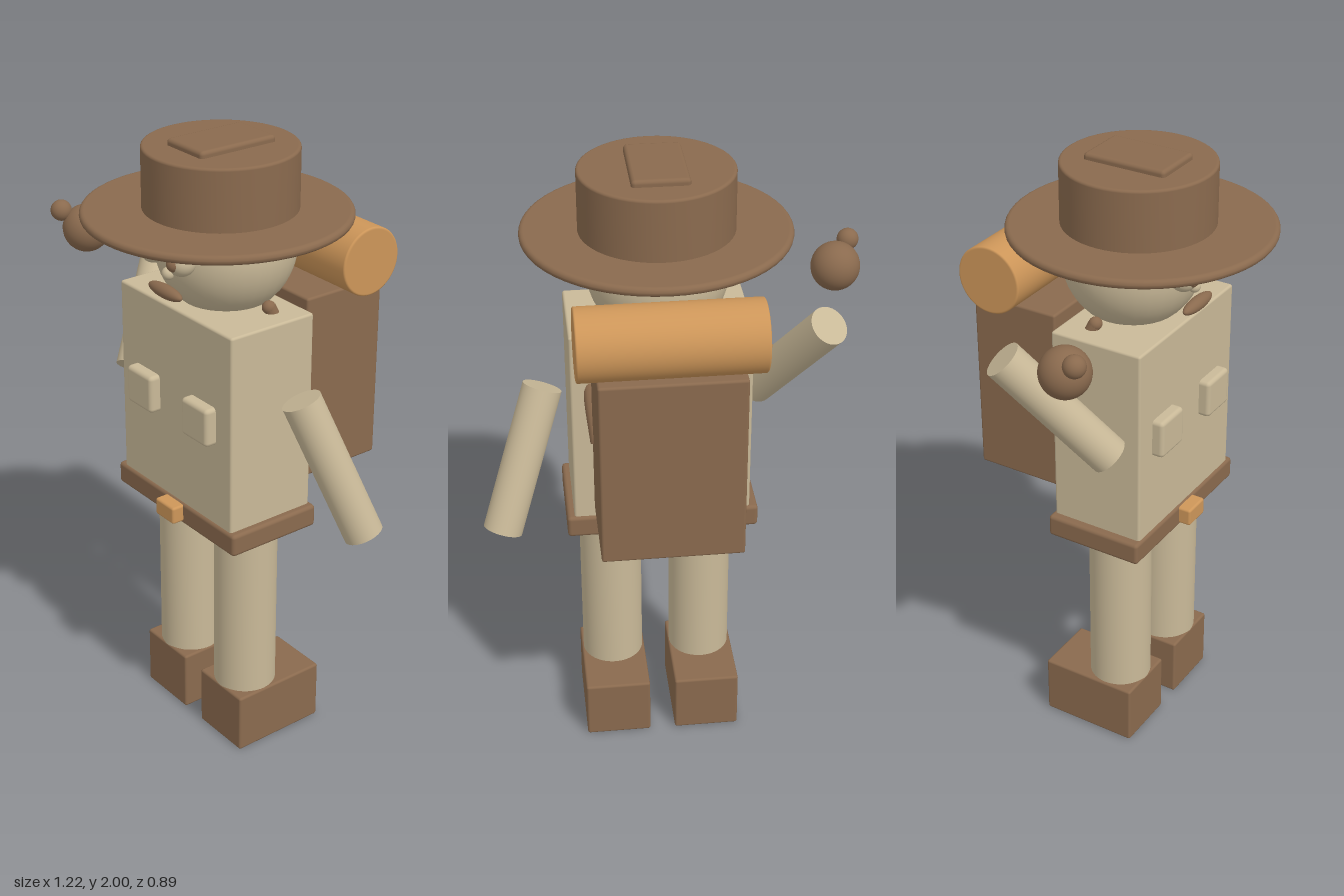
import * as THREE from 'three';
import { RoundedBoxGeometry } from 'three/addons/geometries/RoundedBoxGeometry.js';

export function createModel() {
  const root = new THREE.Group();
  root.name = 'hiker';
  const material = (name, color) => {
    const m = new THREE.MeshStandardMaterial({ color });
    m.name = name;
    return m;
  };
  const khaki = material('khaki', 0xc9b998);
  const brown = material('brown leather', 0x8a6a4e);
  const tan = material('orange tan', 0xcd9659);
  const CX = 0.037; // body centre line

  const add = (name, geometry, mat, x, y, z) => {
    const mesh = new THREE.Mesh(geometry, mat);
    mesh.name = name;
    mesh.position.set(x, y, z);
    root.add(mesh);
    return mesh;
  };
  // Box with softened edges, given by its bounds
  const box = (name, mat, [x0, x1], [y0, y1], [z0, z1], r = 0.008) =>
    add(name, new RoundedBoxGeometry(x1 - x0, y1 - y0, z1 - z0, 2, r), mat,
      (x0 + x1) / 2, (y0 + y1) / 2, (z0 + z1) / 2);
  const ball = (name, mat, r, x, y, z, scale = [1, 1, 1]) => {
    const mesh = add(name, new THREE.SphereGeometry(r, 32, 24), mat, x, y, z);
    mesh.scale.set(...scale);
    return mesh;
  };
  // Upright cylinder with rounded rims, centred on its own origin
  const drum = (r, h, b) => {
    const pts = [new THREE.Vector2(0, -h / 2), new THREE.Vector2(r - b - 0.002, -h / 2)];
    for (const side of [-1, 1]) {
      for (let i = 0; i <= 4; i++) {
        const a = (side < 0 ? i - 4 : i) * Math.PI / 8;
        pts.push(new THREE.Vector2(r - b + b * Math.cos(a), side * (h / 2 - b) + b * Math.sin(a)));
      }
    }
    pts.push(new THREE.Vector2(r - b - 0.002, h / 2), new THREE.Vector2(0, h / 2));
    return new THREE.LatheGeometry(pts, 56);
  };
  // Straight limb between two points
  const limb = (name, mat, r, from, to) => {
    const a = new THREE.Vector3(...from), b = new THREE.Vector3(...to);
    const dir = b.clone().sub(a);
    const mid = a.clone().add(b).multiplyScalar(0.5);
    const mesh = add(name, new THREE.CylinderGeometry(r, r, dir.length(), 32), mat, mid.x, mid.y, mid.z);
    mesh.quaternion.setFromUnitVectors(new THREE.Vector3(0, 1, 0), dir.normalize());
    return mesh;
  };

  // Torso, belt and buckle
  box('torso', khaki, [-0.243, 0.317], [0.85, 1.505], [-0.111, 0.198]);
  box('belt', brown, [-0.27, 0.34], [0.784, 0.858], [-0.121, 0.206], 0.012);
  box('buckle', tan, [-0.01, 0.084], [0.795, 0.853], [0.19, 0.246]);

  // Paired parts
  for (const side of [-1, 1]) {
    const label = side > 0 ? 'left' : 'right';
    const legX = 0.047 + side * 0.148;
    add(label + 'Leg', drum(0.101, 0.594, 0.008), khaki, legX, 0.478, 0.043);
    const bootX = 0.046 + side * 0.149;
    box(label + 'Boot', brown, [bootX - 0.107, bootX + 0.107], [0, 0.204], [-0.185, 0.145]);
    const pocketX = CX + side * 0.142;
    box(label + 'Pocket', khaki, [pocketX - 0.064, pocketX + 0.064], [1.129, 1.254], [0.18, 0.235], 0.014);

    // Eye, pupil and sideburn
    const eyeX = CX + side * 0.07;
    ball(label + 'Eye', khaki, 0.043, eyeX, 1.68, 0.218);
    ball(label + 'Pupil', brown, 0.024, eyeX, 1.68, 0.245);
    const out = new THREE.Vector3(side * 0.197, 0.06, -0.066).normalize();
    const hair = ball(label + 'Sideburn', brown, 1,
      CX + out.x * 0.207, 1.67 + out.y * 0.207, 0.003 + out.z * 0.207, [0.075, 0.034, 0.02]);
    hair.quaternion.setFromRotationMatrix(
      new THREE.Matrix4().lookAt(out, new THREE.Vector3(), new THREE.Vector3(0, 1, 0)));

    // Shoulder strap bowing outwards from shoulder to backpack
    const path = new THREE.CatmullRomCurve3([
      [0.192, 1.522, -0.01], [0.212, 1.42, -0.055], [0.218, 1.31, -0.105], [0.205, 1.17, -0.17],
    ].map(([x, y, z]) => new THREE.Vector3(CX + side * x, y, z)));
    add(label + 'Strap', new THREE.TubeGeometry(path, 20, 0.021, 12), brown, 0, 0, 0);
    ball(label + 'StrapEnd', brown, 0.021, CX + side * 0.192, 1.52, -0.01);
  }

  // Arms, and the hand raised in a wave
  limb('leftArm', khaki, 0.062, [0.545, 0.845, -0.138], [0.397, 1.28, -0.002]);
  limb('rightArm', khaki, 0.062, [-0.288, 1.17, 0.12], [-0.465, 1.51, -0.13]);
  ball('rightHand', brown, 0.077, -0.53, 1.575, 0.13);
  ball('rightThumb', brown, 0.034, -0.578, 1.634, 0.193);

  // Head and face
  ball('head', khaki, 0.217, CX, 1.67, 0.003);
  ball('nose', khaki, 0.02, CX, 1.622, 0.216);
  ball('mouth', brown, 1, CX, 1.568, 0.228, [0.08, 0.021, 0.022]);

  // Hat
  add('hatBrim', drum(0.408, 0.028, 0.013), brown, CX, 1.776, 0.035);
  add('hatCrown', drum(0.235, 0.21, 0.008), brown, CX, 1.875, 0.022);
  box('hatPanel', brown, [-0.049, 0.123], [1.96, 2.0], [-0.117, 0.157], 0.012);

  // Backpack with bedroll
  box('backpack', brown, [-0.18, 0.254], [0.912, 1.52], [-0.436, -0.14]);
  const roll = add('bedroll', drum(0.109, 0.549, 0.006), tan, CX, 1.61, -0.338);
  roll.rotation.z = Math.PI / 2;

  return root;
}
